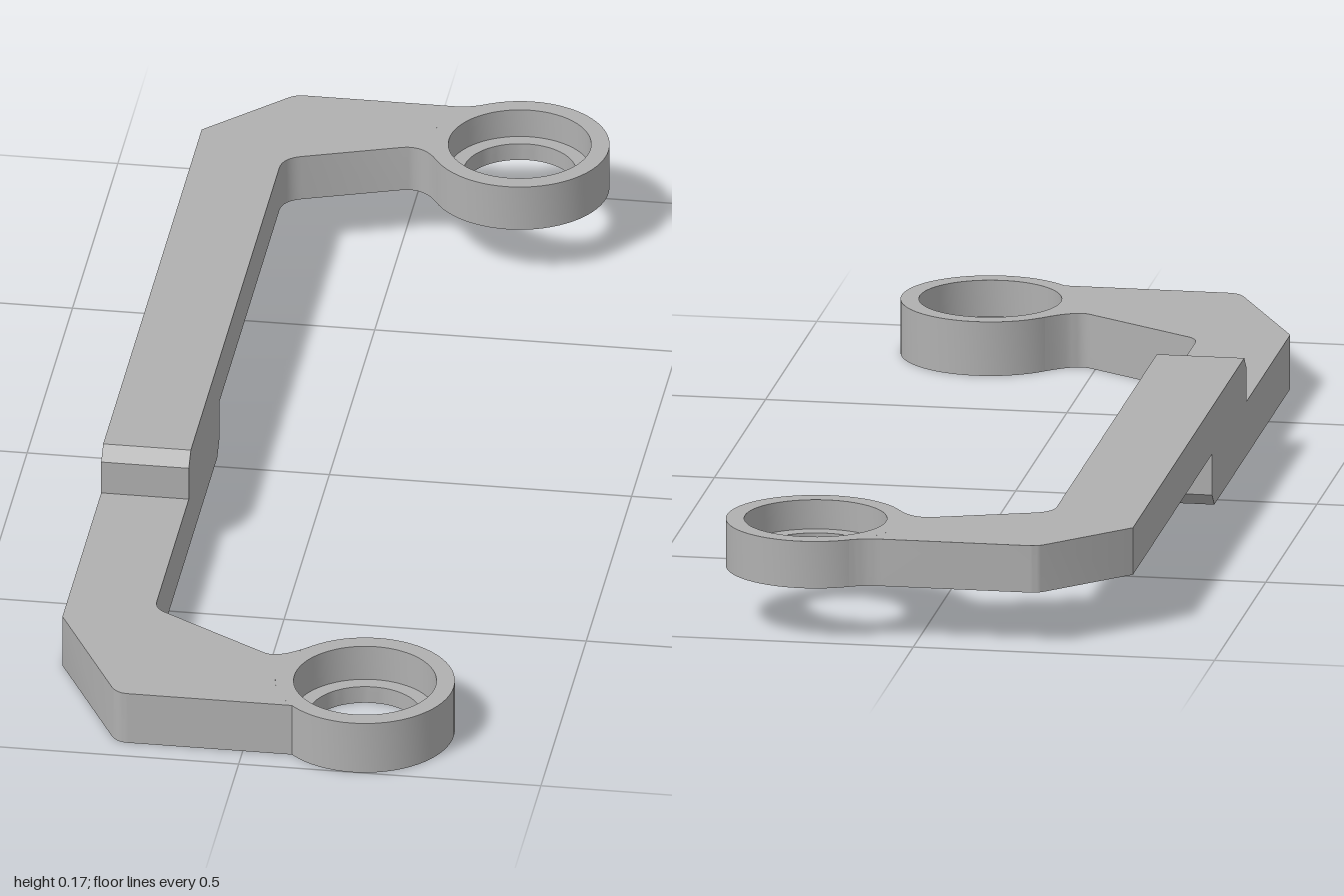
import * as THREE from 'three';
import { toCreasedNormals } from 'three/addons/utils/BufferGeometryUtils.js';

const grey = new THREE.MeshStandardMaterial({ color: 0xb0b0b0 });
grey.name = 'grey';

const MID = 0.0915;           // height where the two halves meet
const TOP = 0.171;
const LEFT = -0.335, INNER = -0.19;
const RING = { x: 0.187, d: 0.853, r: 0.147, seat: 0.117, hole: 0.092 };
const CHAMFER = 0.022;
const rad = THREE.MathUtils.degToRad;

function part(name, geometry, parent) {
  const mesh = new THREE.Mesh(toCreasedNormals(geometry, 0.5), grey);
  mesh.name = name;
  parent.add(mesh);
  return mesh;
}

// Flat bracket arm; d is the distance from the middle towards its ring, side is the sign of z
function armGeometry(o, side, y0, y1) {
  const s = new THREE.Shape();
  const v = d => -side * d;
  const line = ([x, d]) => s.lineTo(x, v(d));
  const curve = ([cx, cd], [x, d]) => s.quadraticCurveTo(cx, v(cd), x, v(d));
  const onRing = a => [RING.x + RING.r * Math.cos(rad(a)), RING.d + RING.r * Math.sin(rad(a))];

  s.moveTo(INNER, v(o.start));
  line([LEFT, o.start]);
  line(o.outerBend);
  line(o.cornerIn);
  curve(o.corner, o.cornerOut);
  line(o.outerNeck);
  curve(o.outerNeckControl, onRing(o.outerAngle));
  // concave end that follows the ring
  for (let i = 1; i <= 12; i++) line(onRing(o.outerAngle + (o.innerAngle - o.outerAngle) * i / 12));
  curve(o.innerNeckControl, o.innerNeck);
  line(o.innerBendIn);
  curve(o.innerBend, o.innerBendOut);
  s.closePath();

  return new THREE.ExtrudeGeometry(s, { depth: y1 - y0, bevelEnabled: false, curveSegments: 8 })
    .rotateX(-Math.PI / 2).translate(0, y0, 0);
}

// Ring with a wide seat on top and a narrower through hole
function ringGeometry(y0, y1) {
  const floor = y0 + 0.03;
  const profile = [
    [RING.hole, y0], [RING.r, y0], [RING.r, y1], [RING.seat, y1],
    [RING.seat, floor], [RING.hole, floor], [RING.hole, y0],
  ].map(([r, y]) => new THREE.Vector2(r, y));
  return new THREE.LatheGeometry(profile, 64);
}

// Short bar end with one chamfered edge, from a z-y profile
function tipGeometry(profile) {
  const s = new THREE.Shape(profile.map(([z, y]) => new THREE.Vector2(-z, y)));
  return new THREE.ExtrudeGeometry(s, { depth: INNER - LEFT, bevelEnabled: false })
    .rotateY(Math.PI / 2).translate(LEFT, 0, 0);
}

function half(name, outline, side, y0, y1, tip) {
  const group = new THREE.Group();
  group.name = name;
  part(name + 'Arm', armGeometry(outline, side, y0, y1), group);
  part(name + 'Ring', ringGeometry(y0, y1), group).position.set(RING.x, 0, side * RING.d);
  part(name + 'Tip', tipGeometry(tip), group);
  return group;
}

export function createModel() {
  const model = new THREE.Group();
  model.name = 'steppedBracket';

  // Upper half, reaching to the back
  const upperEnd = 0.283, upperStart = upperEnd - CHAMFER;
  model.add(half('upper', {
    start: -upperStart,
    outerBend: [LEFT, 0.825],
    cornerIn: [-0.21, 0.955], corner: [-0.2, 0.965], cornerOut: [-0.185, 0.965],
    outerNeck: [0.06, 0.965], outerNeckControl: [0.087, 0.965], outerAngle: 121.6,
    innerAngle: 210, innerNeckControl: [0.035, 0.823], innerNeck: [0, 0.814],
    innerBendIn: [-0.16, 0.758], innerBend: [INNER, 0.747], innerBendOut: [INNER, 0.715],
  }, -1, MID, TOP, [
    [upperStart, MID], [upperEnd, MID], [upperEnd, TOP - CHAMFER], [upperStart, TOP],
  ]));

  // Lower half, reaching to the front
  const lowerEnd = -0.053, lowerStart = lowerEnd + CHAMFER;
  model.add(half('lower', {
    start: lowerStart,
    outerBend: [LEFT, 0.71],
    cornerIn: [-0.22, 0.935], corner: [-0.21, 0.955], cornerOut: [-0.19, 0.955],
    outerNeck: [0.07, 0.955], outerNeckControl: [0.076, 0.955], outerAngle: 136,
    innerAngle: 223, innerNeckControl: [0.035, 0.797], innerNeck: [0.01, 0.783],
    innerBendIn: [-0.172, 0.67], innerBend: [INNER, 0.659], innerBendOut: [INNER, 0.635],
  }, 1, 0, MID, [
    [lowerStart, 0], [lowerStart, MID], [lowerEnd, MID], [lowerEnd, CHAMFER],
  ]));

  return model;
}
